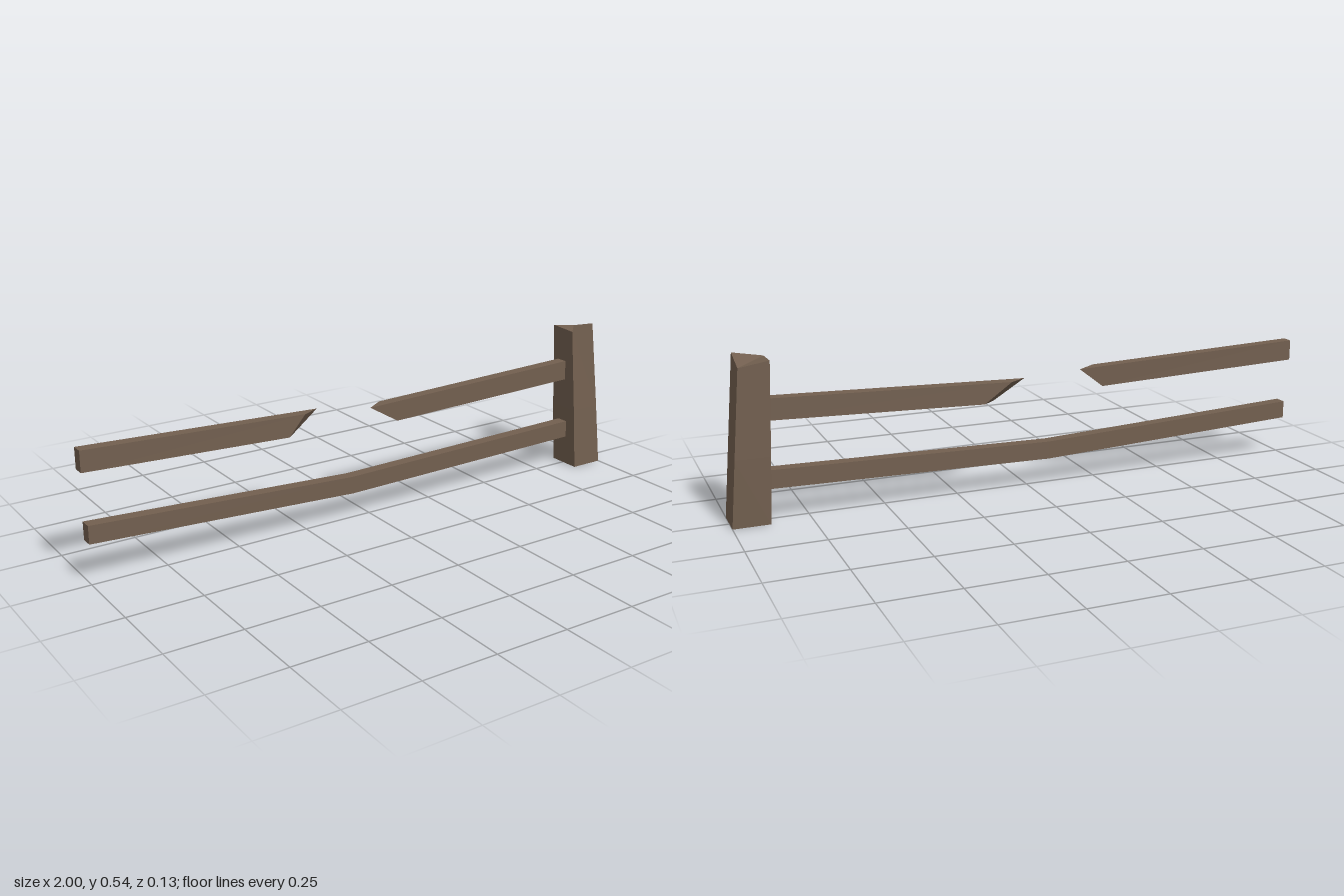
import * as THREE from 'three';

const wood = new THREE.MeshStandardMaterial({ color: 0x725f4f });
wood.name = 'weathered wood';

// Lofts four-cornered cross-sections into a closed, flat-faced beam.
function beam(name, sections) {
  const pos = [];
  const quad = (a, b, c, d) => [a, b, c, a, c, d].forEach((p) => pos.push(...p));
  for (let k = 0; k < sections.length - 1; k++) {
    const s = sections[k], t = sections[k + 1];
    for (let i = 0; i < 4; i++) {
      const j = (i + 1) % 4;
      quad(s[i], t[i], t[j], s[j]);
    }
  }
  quad(...sections[0]);
  quad(...[...sections[sections.length - 1]].reverse());
  const geo = new THREE.BufferGeometry();
  geo.setAttribute('position', new THREE.Float32BufferAttribute(pos, 3));
  geo.computeVertexNormals();
  const mesh = new THREE.Mesh(geo, wood);
  mesh.name = name;
  return mesh;
}

// Square-cut rail section: corners front bottom, front top, back top, back bottom.
const cut = (x, y0, y1, zBack, zFront) => [
  [x, y0, zFront], [x, y1, zFront], [x, y1, zBack], [x, y0, zBack],
];

// Post section: corners front right, front left, back left, back right, each with its own height.
const ring = (x0, x1, zBack, zFront, [fr, fl, bl, br]) => [
  [x1, fr, zFront], [x0, fl, zFront], [x0, bl, zBack], [x1, br, zBack],
];

export function createModel() {
  const fence = new THREE.Group();
  fence.name = 'brokenFence';

  // Leaning, tapered post with an unevenly sawn top
  fence.add(beam('post', [
    ring(0.88, 1.0, -0.053, 0.065, [0, 0, 0, 0]),
    ring(0.871, 0.982, -0.06, 0.054, [0.22, 0.22, 0.22, 0.22]),
    ring(0.86, 0.957, -0.064, 0.034, [0.535, 0.517, 0.522, 0.507]),
  ]));

  // Sagging lower rail
  fence.add(beam('lowerRail', [
    cut(-1, 0.135, 0.195, -0.034, 0.007),
    cut(-0.07, 0.09, 0.15, -0.029, 0.011),
    cut(0.91, 0.107, 0.168, -0.028, 0.013),
  ]));

  // Upper rail, snapped in two with slanted break faces
  fence.add(beam('upperRailRightHalf', [
    cut(-1, 0.355, 0.425, -0.054, -0.015),
    [[-0.3, 0.329, -0.008], [-0.24, 0.397, -0.008], [-0.175, 0.394, -0.045], [-0.26, 0.328, -0.045]],
  ]));
  fence.add(beam('upperRailLeftHalf', [
    [[0.12, 0.307, -0.006], [0.01, 0.373, -0.006], [0.07, 0.374, -0.045], [0.165, 0.308, -0.045]],
    cut(0.91, 0.33, 0.4, -0.038, 0.002),
  ]));

  return fence;
}
